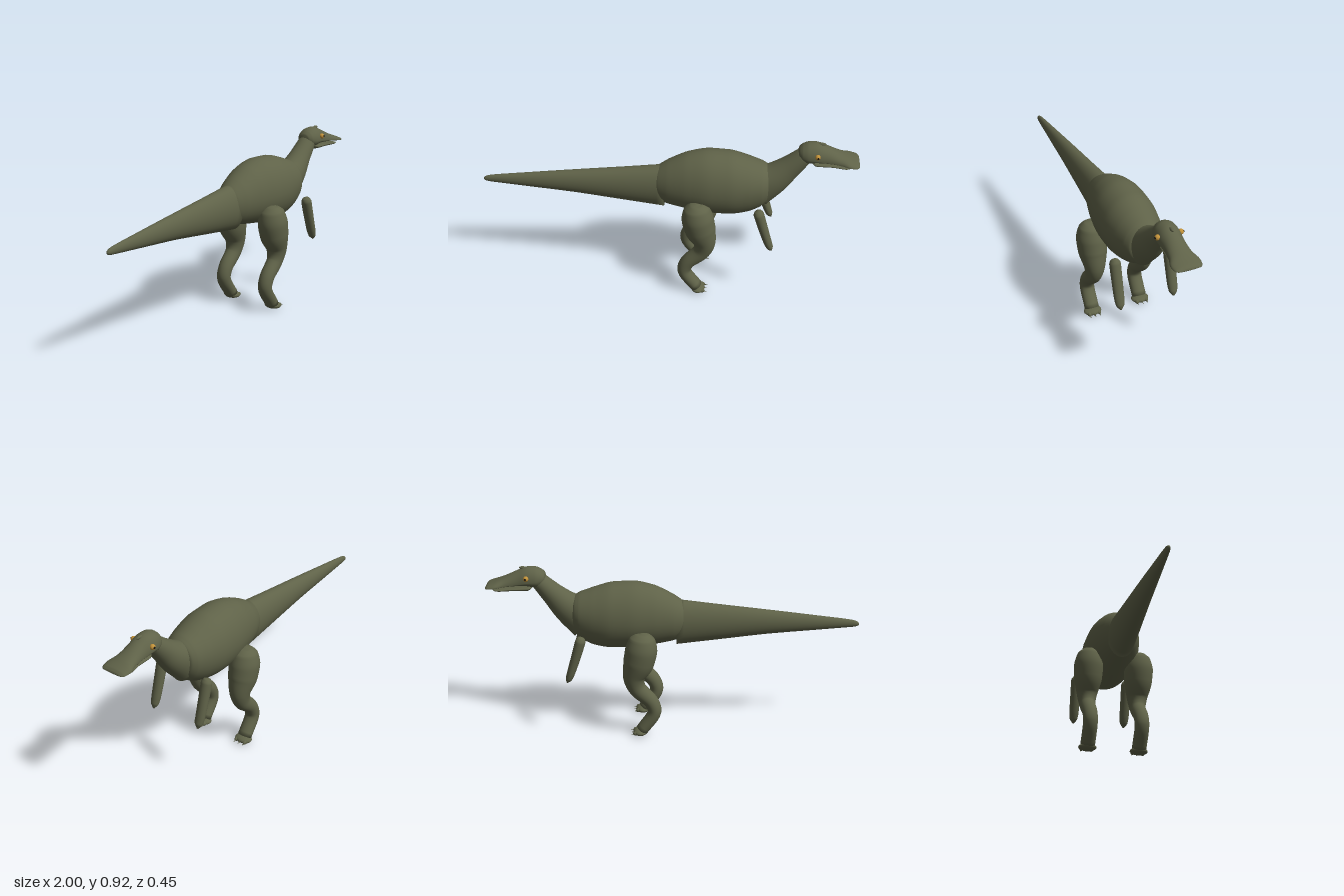
import * as THREE from 'three';

const mat = (name, color) => Object.assign(new THREE.MeshStandardMaterial({ color }), { name });

// Closed smooth skin through cross-sections [x, y, up, down, halfWidth] in the xy plane.
// upright: rings stay vertical; otherwise they turn with the path.
function loft(sections, upright, steps = 6, sides = 36) {
  const centres = new THREE.CatmullRomCurve3(sections.map(s => new THREE.Vector3(s[0], s[1], 0)));
  const radii = new THREE.CatmullRomCurve3(sections.map(s => new THREE.Vector3(s[2], s[3], s[4])));
  const rings = (sections.length - 1) * steps;
  const pos = [], idx = [];
  for (let i = 0; i <= rings; i++) {
    const u = i / rings;
    const c = centres.getPoint(u), r = radii.getPoint(u);
    const t = upright ? new THREE.Vector3(1, 0, 0) : centres.getTangent(u);
    for (let j = 0; j < sides; j++) {
      const a = (j / sides) * Math.PI * 2;
      const h = Math.cos(a) * Math.max(0.001, Math.cos(a) > 0 ? r.x : r.y);
      pos.push(c.x - t.y * h, c.y + t.x * h, Math.sin(a) * Math.max(0.001, r.z));
    }
  }
  for (let i = 0; i < rings; i++) {
    for (let j = 0; j < sides; j++) {
      const a = i * sides + j, b = i * sides + (j + 1) % sides;
      idx.push(a, b, a + sides, b, b + sides, a + sides);
    }
  }
  // End caps
  const first = sections[0], last = sections[sections.length - 1];
  const n = pos.length / 3;
  pos.push(first[0], first[1], 0, last[0], last[1], 0);
  for (let j = 0; j < sides; j++) {
    const k = (j + 1) % sides, e = rings * sides;
    idx.push(n, k, j, n + 1, e + j, e + k);
  }
  const g = new THREE.BufferGeometry();
  g.setAttribute('position', new THREE.Float32BufferAttribute(pos, 3));
  g.setIndex(idx);
  g.computeVertexNormals();
  return g;
}

export function createModel() {
  const skin = mat('olive skin', 0x5f6248);
  const amber = mat('amber eye', 0xc2923a);
  const black = mat('black pupil', 0x14120e);

  const model = new THREE.Group();
  const add = (parent, name, geometry, material = skin, p = [0, 0, 0], s = [1, 1, 1]) => {
    const m = new THREE.Mesh(geometry, material);
    m.name = name;
    m.position.set(...p);
    m.scale.set(...s);
    parent.add(m);
    return m;
  };
  const ball = new THREE.SphereGeometry(1, 24, 16);
  const round = ([x, y, r, rz = r]) => [x, y, r, r, rz];

  // Trunk
  add(model, 'body', loft([
    [-0.07, 0.635, 0.075, 0.085, 0.06],
    [-0.055, 0.635, 0.095, 0.105, 0.076],
    [0, 0.64, 0.128, 0.13, 0.102],
    [0.1, 0.645, 0.172, 0.155, 0.131],
    [0.22, 0.645, 0.195, 0.172, 0.151],
    [0.33, 0.645, 0.188, 0.175, 0.151],
    [0.43, 0.65, 0.153, 0.165, 0.134],
    [0.5, 0.655, 0.122, 0.135, 0.112],
    [0.53, 0.66, 0.098, 0.105, 0.09],
    [0.543, 0.66, 0.05, 0.05, 0.045],
    [0.545, 0.66, 0.003, 0.003, 0.003],
  ], true));

  add(model, 'tail', loft([
    [-1, 0.61, 0.004, 0.004, 0.004],
    [-0.992, 0.611, 0.012, 0.012, 0.009],
    [-0.97, 0.613, 0.019, 0.019, 0.013],
    [-0.75, 0.616, 0.043, 0.043, 0.029],
    [-0.5, 0.618, 0.069, 0.069, 0.046],
    [-0.25, 0.615, 0.099, 0.099, 0.063],
    [-0.02, 0.613, 0.127, 0.127, 0.08],
  ], true));

  add(model, 'neck', loft([
    [0.47, 0.63, 0.12, 0.12, 0.085],
    [0.56, 0.69, 0.086, 0.09, 0.078],
    [0.64, 0.765, 0.06, 0.065, 0.061],
    [0.72, 0.845, 0.045, 0.045, 0.05],
  ], false));

  // Head with a flat, widening bill
  const head = new THREE.Group();
  head.name = 'head';
  model.add(head);
  add(head, 'skull', loft([
    [0.678, 0.86, 0.006, 0.006, 0.008],
    [0.683, 0.86, 0.028, 0.025, 0.033],
    [0.7, 0.855, 0.05, 0.04, 0.051],
    [0.73, 0.85, 0.068, 0.044, 0.061],
    [0.78, 0.843, 0.075, 0.026, 0.062],
    [0.83, 0.834, 0.064, 0.015, 0.058],
    [0.9, 0.824, 0.041, 0.008, 0.062],
    [0.95, 0.818, 0.026, 0.007, 0.077],
    [0.985, 0.814, 0.017, 0.006, 0.072],
    [0.997, 0.813, 0.008, 0.005, 0.06],
    [1, 0.813, 0.002, 0.002, 0.045],
  ], true));
  add(head, 'lowerJaw', loft([
    [0.755, 0.808, 0.004, 0.006, 0.03],
    [0.775, 0.805, 0.01, 0.016, 0.045],
    [0.86, 0.802, 0.006, 0.015, 0.046],
    [0.93, 0.8, 0.005, 0.013, 0.058],
    [0.955, 0.8, 0.003, 0.008, 0.05],
    [0.963, 0.8, 0.001, 0.002, 0.035],
  ], true));
  add(head, 'crest', ball, skin, [0.8, 0.913, 0], [0.02, 0.008, 0.008]);

  // Limb shapes, shared by both sides
  const legShape = loft([
    [0.158, 0.602, 0.004], [0.158, 0.596, 0.035], [0.16, 0.57, 0.068, 0.064],
    [0.167, 0.5, 0.086, 0.081], [0.182, 0.43, 0.083, 0.077],
    [0.206, 0.345, 0.06, 0.056], [0.19, 0.28, 0.048, 0.044],
    [0.115, 0.2, 0.04, 0.041], [0.098, 0.14, 0.037, 0.04], [0.165, 0.033, 0.034, 0.04],
  ].map(round), false);
  const armShape = loft([
    [0.482, 0.578, 0.004], [0.484, 0.572, 0.019], [0.49, 0.55, 0.028, 0.03],
    [0.515, 0.465, 0.026, 0.029], [0.545, 0.37, 0.022, 0.027],
    [0.558, 0.335, 0.018, 0.022], [0.568, 0.312, 0.004],
  ].map(round), false);
  const clawShape = new THREE.ConeGeometry(0.009, 0.05, 12).rotateZ(-Math.PI / 2 - 0.15);

  for (const [side, sign] of [['left', -1], ['right', 1]]) {
    // Eye
    add(head, side + 'Eye', ball, amber, [0.777, 0.87, sign * 0.061], [0.014, 0.015, 0.015]);
    add(head, side + 'Pupil', ball, black, [0.779, 0.871, sign * 0.0745], [0.006, 0.006, 0.0035]);

    // Arm
    add(model, side + 'Arm', armShape, skin, [0, 0, sign * 0.15]);

    // Leg with foot and three claws
    const leg = new THREE.Group();
    leg.name = side + 'Leg';
    leg.position.z = sign * 0.143;
    model.add(leg);
    add(leg, 'limb', legShape);
    add(leg, 'foot', ball, skin, [0.175, 0.021, 0], [0.038, 0.019, 0.05]);
    for (const z of [-0.028, 0, 0.028]) {
      add(leg, 'toe', ball, skin, [0.198, 0.019, z], [0.017, 0.012, 0.011]);
      add(leg, 'claw', clawShape, skin, [0.205, 0.016, z]);
    }
  }
  return model;
}
